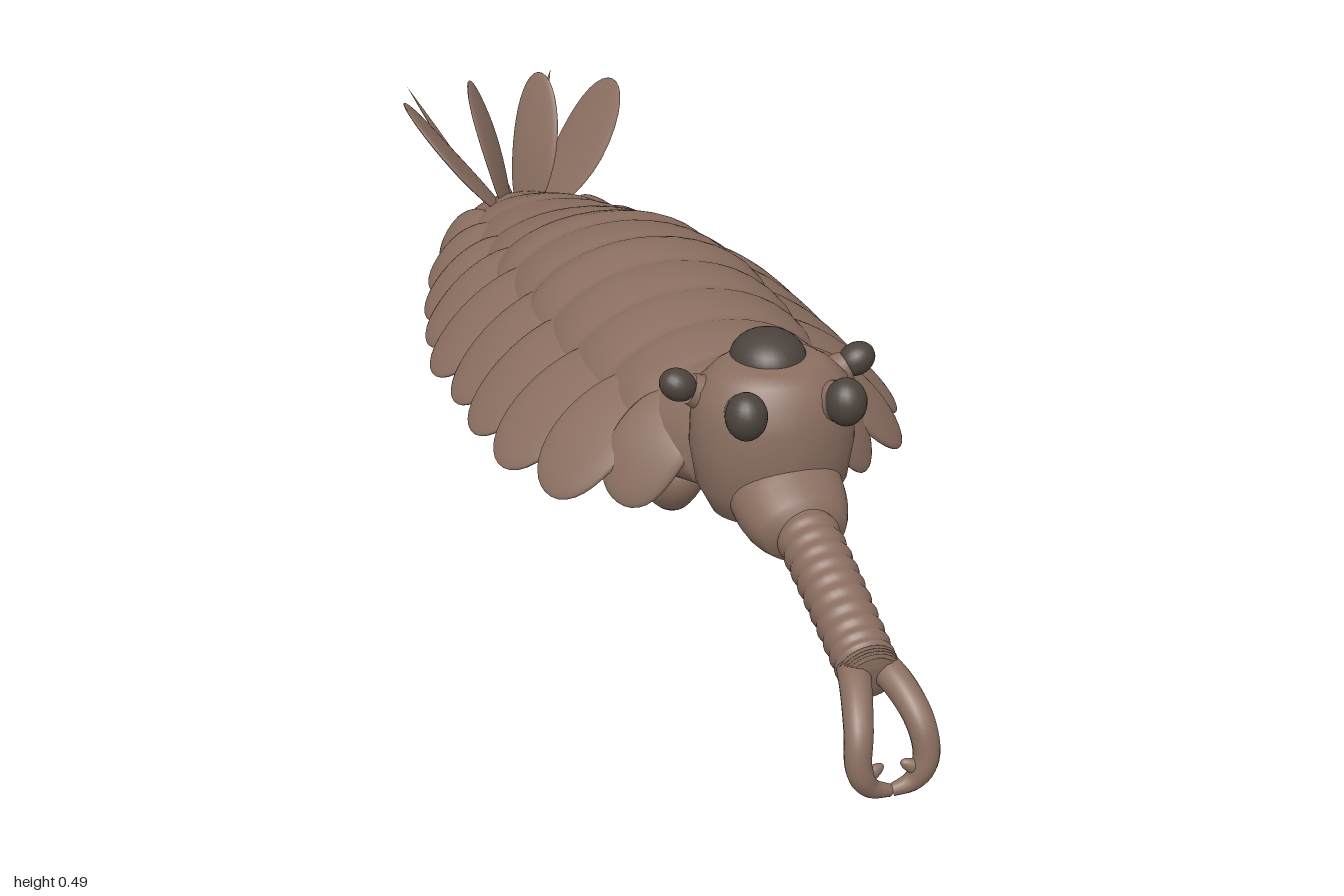
import * as THREE from 'three';
import { mergeVertices } from 'three/addons/utils/BufferGeometryUtils.js';

const V = (x, y, z) => new THREE.Vector3(x, y, z);

// closed-ring surface from fn(u, angle); mirrored in x when flip is true
function surface(fn, nu, nv, flip = false) {
  const pos = [], idx = [];
  for (let i = 0; i <= nu; i++) for (let j = 0; j < nv; j++) {
    const p = fn(i / nu, (j / nv) * Math.PI * 2);
    pos.push(flip ? -p.x : p.x, p.y, p.z);
  }
  for (let i = 0; i < nu; i++) for (let j = 0; j < nv; j++) {
    const a = i * nv + j, b = i * nv + (j + 1) % nv, c = a + nv, d = b + nv;
    if (flip) idx.push(a, c, b, b, c, d); else idx.push(a, b, c, b, d, c);
  }
  let g = new THREE.BufferGeometry();
  g.setAttribute('position', new THREE.Float32BufferAttribute(pos, 3));
  g.setIndex(idx);
  g = mergeVertices(g, 1e-5);
  g.computeVertexNormals();
  return g;
}

// flat leaf along a path; side is the direction of its width
function leaf(points, side, width, thick, flip, { tip = 4, root = 8, power = 0.5 } = {}) {
  const curve = new THREE.CatmullRomCurve3(points);
  return surface((k, a) => {
    const u = (1 - Math.cos(Math.PI * k)) / 2;
    const t = curve.getTangent(u);
    const s = side.clone().addScaledVector(t, -side.dot(t)).normalize();
    const n = t.clone().cross(s);
    const f = Math.pow(Math.max(0, 1 - Math.pow(u, tip)), power) * Math.sqrt(Math.max(0, 1 - Math.pow(1 - u, root)));
    return curve.getPoint(u).addScaledVector(s, width * f * Math.cos(a)).addScaledVector(n, thick * f * Math.sin(a));
  }, 18, 20, flip);
}

// round tube along a path with radius r(u)
function tube(points, r, nu, nv, flip) {
  const curve = new THREE.CatmullRomCurve3(points);
  return surface((u, a) => {
    const t = curve.getTangent(u);
    const s = V(1, 0, 0).addScaledVector(t, -t.x).normalize();
    const n = t.clone().cross(s);
    return curve.getPoint(u).addScaledVector(s, r(u) * Math.cos(a)).addScaledVector(n, r(u) * Math.sin(a));
  }, nu, nv, flip);
}

// body stations: z, half width, top, side height, belly
const BODY = [
  [0.46, 0.0, 0.34, 0.3, 0.26], [0.43, 0.115, 0.41, 0.285, 0.215], [0.3, 0.18, 0.407, 0.265, 0.19],
  [0.1, 0.205, 0.407, 0.26, 0.178], [-0.1, 0.205, 0.402, 0.258, 0.172], [-0.3, 0.195, 0.367, 0.235, 0.165],
  [-0.5, 0.165, 0.297, 0.205, 0.155], [-0.65, 0.13, 0.257, 0.185, 0.146], [-0.79, 0.085, 0.205, 0.165, 0.14],
  [-0.83, 0.0, 0.175, 0.165, 0.155],
];
function station(z) {
  let i = 0;
  while (i < BODY.length - 2 && z < BODY[i + 1][0]) i++;
  const A = BODY[i], B = BODY[i + 1];
  const f = THREE.MathUtils.clamp((A[0] - z) / (A[0] - B[0]), 0, 1);
  return A.map((v, k) => v + (B[k] - v) * f);
}

export function createModel() {
  const model = new THREE.Group();
  const skin = new THREE.MeshStandardMaterial({ color: 0x8b6f61 });
  skin.name = 'brown skin';
  const eye = new THREE.MeshStandardMaterial({ color: 0x4b433c });
  eye.name = 'dark eye';
  const add = (name, geo, mat = skin) => {
    const m = new THREE.Mesh(geo, mat);
    m.name = name;
    model.add(m);
    return m;
  };
  const both = (name, make) => [false, true].forEach(f => add((f ? 'right' : 'left') + name, make(f)));

  // segmented trunk
  add('trunk', surface((u, a) => {
    const z = 0.46 - 1.29 * u;
    const [, w, t, s, b] = station(z);
    const f = (((0.45 - z) / 0.118) % 1 + 1) % 1;
    const bulge = 0.94 + 0.06 * Math.pow(Math.sin(Math.PI * f), 0.5);
    const c = Math.cos(a), h = Math.sin(a);
    return V(-w * c * (h < 0 ? 1 : bulge), s + (h > 0 ? (t - s) * bulge : s - b) * h, z);
  }, 132, 40));

  // overlapping side flaps: z, tip x, tip y, half width, turn towards the front or back
  const flaps = [
    [0.37, 0.2, 0.2, 0.066, -0.75], [0.285, 0.285, 0.19, 0.075, -0.45], [0.165, 0.322, 0.187, 0.08, -0.2],
    [0.035, 0.326, 0.182, 0.078, -0.05], [-0.08, 0.32, 0.18, 0.076, 0], [-0.2, 0.32, 0.174, 0.078, 0.04],
    [-0.32, 0.293, 0.168, 0.076, 0.08], [-0.435, 0.262, 0.16, 0.074, 0.12], [-0.55, 0.222, 0.155, 0.072, 0.16],
    [-0.66, 0.17, 0.15, 0.07, 0.2],
  ];
  flaps.forEach(([z, x, y, hw, turn], i) => both('Flap' + (i + 1), f => {
    const [, w, t, s] = station(z);
    const root = V(w * 0.62, s + (t - s) * 0.55, z);
    const tip = V(x, y, z);
    const mid = root.clone().lerp(tip, 0.5).add(V(0.005, 0.01, 0));
    return leaf([root, mid, tip], V(turn, -0.06, 1), hw, 0.015, f, { tip: 5, root: 7 });
  }));

  // swollen lobes under the belly
  [[0.26, 0.122], [0.16, 0.148], [0.04, 0.118], [-0.13, 0.118], [-0.3, 0.148], [-0.46, 0.096]].forEach(([z, y], i) =>
    both('BellyLobe' + (i + 1), f => leaf(
      [V(0.075, 0.24, z + 0.05), V(0.085, 0.175, z + 0.025), V(0.06, y, z - 0.01)],
      V(0.3, 0, 1), 0.058, 0.055, f, { tip: 2, root: 6, power: 0.8 })));

  // head
  const headProfile = [[0, 0.2], [0.05, 0.203], [0.09, 0.225], [0.113, 0.27], [0.123, 0.33], [0.121, 0.38],
    [0.112, 0.42], [0.09, 0.443], [0.07, 0.456], [0, 0.459]].map(p => new THREE.Vector2(...p));
  const head = add('head', new THREE.LatheGeometry(headProfile, 40));
  head.scale.z = 0.87;
  head.position.z = 0.485;

  // eyes and their stalks
  const dome = add('topEye', new THREE.SphereGeometry(1, 28, 18), eye);
  dome.scale.set(0.056, 0.042, 0.06);
  dome.position.set(0, 0.449, 0.465);
  [1, -1].forEach(s => {
    const side = s > 0 ? 'left' : 'right';
    const front = add(side + 'FrontEye', new THREE.SphereGeometry(1, 20, 14), eye);
    front.scale.set(0.031, 0.036, 0.032);
    front.position.set(s * 0.076, 0.42, 0.585);
    const outer = add(side + 'OuterEye', new THREE.SphereGeometry(1, 20, 14), eye);
    outer.scale.set(0.029, 0.024, 0.025);
    outer.position.set(s * 0.138, 0.426, 0.465);
    outer.rotation.z = s * 0.5;
  });
  both('FrontEyeStalk', f => tube([V(0.055, 0.4, 0.52), V(0.066, 0.408, 0.55), V(0.074, 0.416, 0.575)],
    () => 0.03, 6, 16, f));
  both('OuterEyeStalk', f => tube([V(0.08, 0.4, 0.466), V(0.105, 0.41, 0.466), V(0.122, 0.418, 0.466)],
    u => 0.03 - 0.007 * u, 6, 16, f));

  // collar and ringed snout
  const collar = add('collar', tube([V(0, 0.275, 0.53), V(0, 0.255, 0.58), V(0, 0.242, 0.64)],
    u => u > 0.99 ? 0.03 : 0.07 - 0.024 * u * u * u, 14, 32));
  collar.scale.x = 1.22;
  add('snout', tube([V(0, 0.258, 0.59), V(0, 0.208, 0.74), V(0, 0.155, 0.875), V(0, 0.145, 0.905)],
    u => (0.046 - 0.004 * u + 0.0018 * Math.cos(u * 17 * Math.PI * 2)) * Math.sqrt(1 - Math.pow(u, 24)),
    136, 28));

  // pincer at the end of the snout
  both('PincerArm', f => tube(
    [V(0.015, 0.158, 0.86), V(0.032, 0.143, 0.92), V(0.046, 0.105, 0.968), V(0.05, 0.055, 0.982), V(0.033, 0.023, 0.981), V(0.001, 0.01, 0.978)],
    u => u === 0 ? 0 : 0.025 - 0.01 * u - (u > 0.7 ? (u - 0.7) * 0.02 : 0), 30, 16, f));
  both('PincerTooth', f => leaf([V(0.055, 0.035, 0.983), V(0.036, 0.043, 0.982), V(0.013, 0.055, 0.98)],
    V(0, 1, 0.1), 0.013, 0.011, f, { tip: 3, root: 6 }));

  // tail fan
  both('OuterTailPaddle', f => leaf([V(0.03, 0.185, -0.75), V(0.105, 0.272, -0.77), V(0.182, 0.375, -0.835)],
    V(0.15, 0.05, 1), 0.085, 0.009, f, { tip: 4, root: 3 }));
  both('InnerTailPaddle', f => leaf([V(0.012, 0.165, -0.785), V(0.038, 0.28, -0.8), V(0.062, 0.395, -0.85)],
    V(0.45, 0, 0.9), 0.058, 0.008, f, { tip: 3.5, root: 3 }));
  both('TailSpine', f => leaf([V(0.02, 0.155, -0.78), V(0.065, 0.21, -0.88), V(0.09, 0.26, -0.945), V(0.13, 0.335, -1)],
    V(0.6, 0.6, 0.6), 0.048, 0.009, f, { tip: 1.3, root: 3, power: 1 }));
  add('middleTailSpine', leaf([V(0, 0.155, -0.77), V(0, 0.195, -0.88), V(0, 0.285, -1)],
    V(0, 1, 0.4), 0.036, 0.008, false, { tip: 1.3, root: 3, power: 1 }));

  return model;
}
